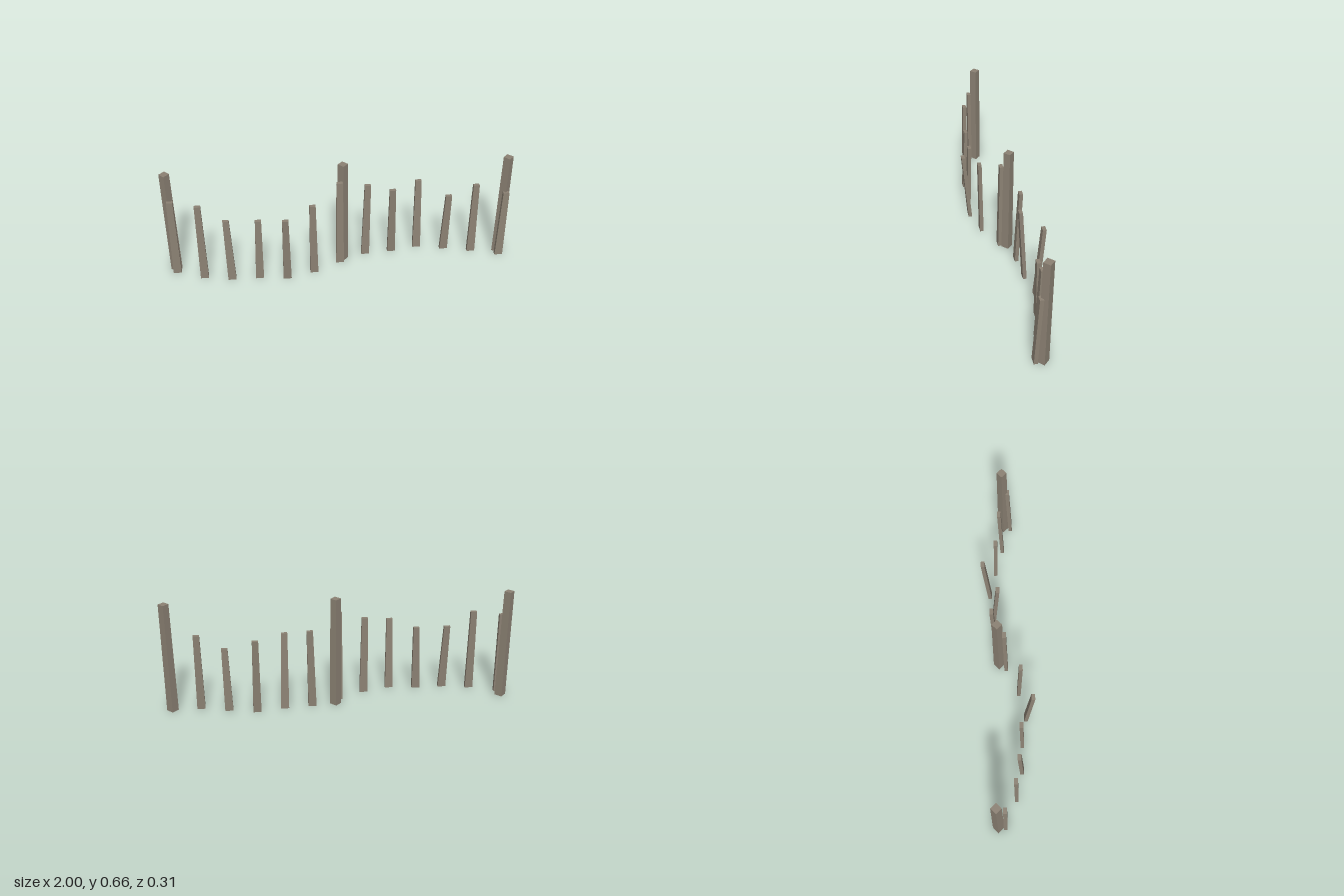
import * as THREE from 'three';

// Shift the base and top of an upright solid so that it leans and tapers
function lean(geometry, base, top, taperX) {
  const p = geometry.attributes.position;
  const [bx, by, bz] = base, [tx, ty, tz] = top;
  for (let i = 0; i < p.count; i++) {
    const up = p.getY(i) > 0;
    p.setXYZ(i,
      p.getX(i) * (up ? taperX : 1) + (up ? tx : bx),
      up ? ty : by,
      p.getZ(i) + (up ? tz : bz));
  }
  geometry.computeVertexNormals();
  return geometry;
}

export function createModel() {
  const group = new THREE.Group();
  const wood = new THREE.MeshStandardMaterial({ color: 0x8b8173, flatShading: true });
  wood.name = 'weathered wood';

  const add = (name, geometry) => {
    const mesh = new THREE.Mesh(geometry, wood);
    mesh.name = name;
    group.add(mesh);
  };

  // Pickets at an even pitch: top x offset, height, base z, top z
  const pickets = [
    [0.007, 0.505, -0.012, -0.014],
    [0.001, 0.505, 0.053, 0.044],
    [-0.01, 0.41, 0.085, 0.065],
    [0.01, 0.406, 0.088, 0.077],
    [0, 0.442, 0.11, 0.143],
    [-0.003, 0.483, 0.07, 0.075],
    [0, 0.564, -0.006, -0.017],
    [0.011, 0.488, -0.07, -0.089],
    [-0.008, 0.468, -0.08, -0.054],
    [-0.003, 0.465, -0.105, -0.141],
    [0.008, 0.395, -0.07, -0.067],
    [0, 0.473, -0.029, -0.046],
    [0.006, 0.441, 0.023, 0.003],
  ];
  pickets.forEach(([dx, height, baseZ, topZ], i) => {
    const x = -0.96 + i * 0.16;
    add('picket' + (i + 1), lean(new THREE.BoxGeometry(0.047, 1, 0.021),
      [x, 0.008, baseZ], [x + dx, height, topZ], 0.75));
  });

  // Square posts set corner-on: x, base z, top z
  const posts = [
    [-0.967, -0.052, -0.06],
    [0.022, -0.048, -0.056],
    [0.964, -0.02, -0.029],
  ];
  posts.forEach(([x, baseZ, topZ], i) => {
    add('post' + (i + 1), lean(new THREE.CylinderGeometry(0.029, 0.033, 1, 4),
      [x, 0.002, baseZ], [x, 0.662, topZ], 1));
  });

  return group;
}
